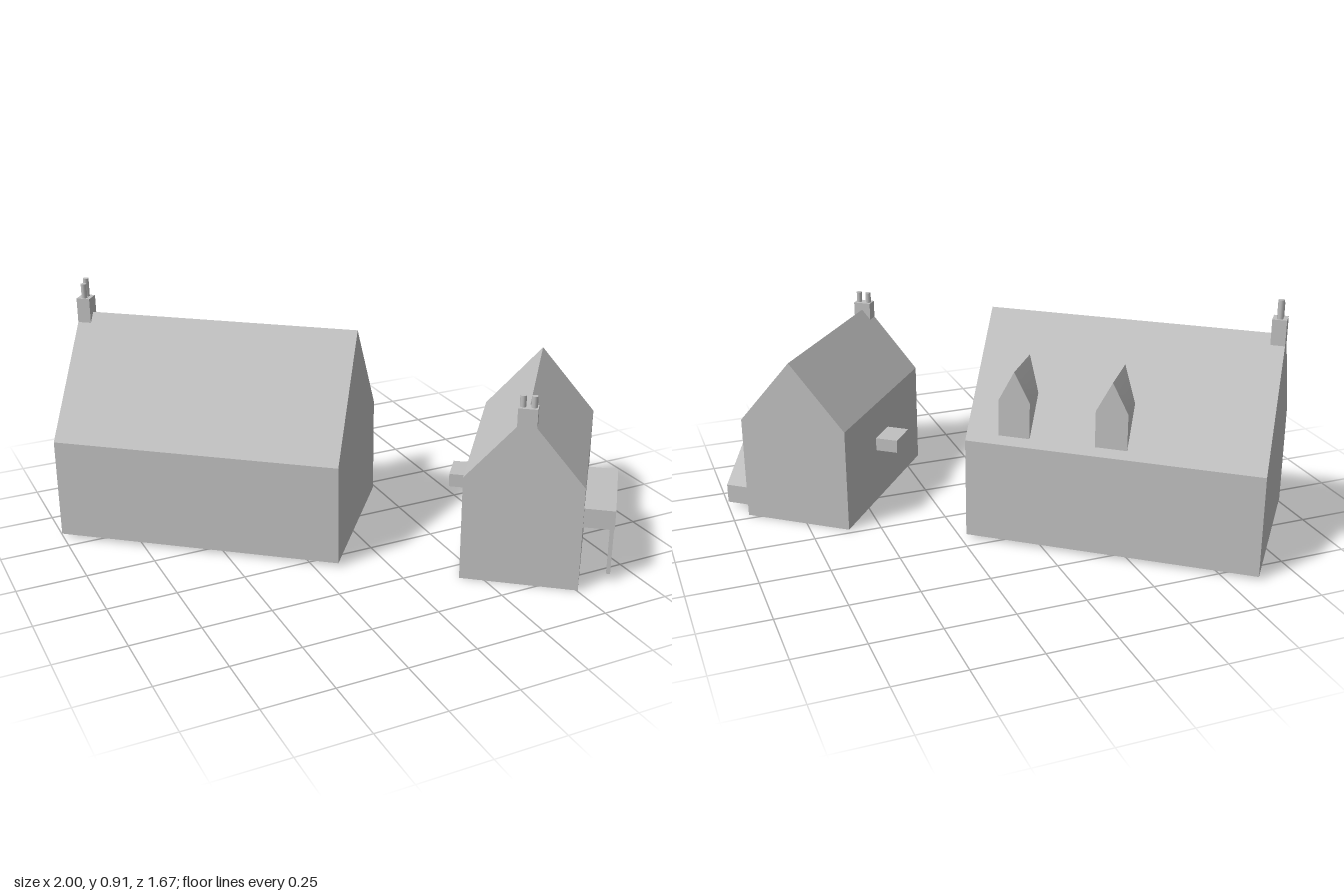
import * as THREE from 'three';

const plaster = new THREE.MeshStandardMaterial({ color: 0xc0c0c0, side: THREE.DoubleSide });
plaster.name = 'plainGrey';

function mesh(name, geometry, parent) {
  const m = new THREE.Mesh(geometry, plaster);
  m.name = name;
  parent.add(m);
  return m;
}

// Box given by its min and max corners
function block(name, parent, [x0, y0, z0], [x1, y1, z1]) {
  const m = mesh(name, new THREE.BoxGeometry(x1 - x0, y1 - y0, z1 - z0), parent);
  m.position.set((x0 + x1) / 2, (y0 + y1) / 2, (z0 + z1) / 2);
}

// Gabled shell without a floor: half width across x, half length along z
function gabledBody(name, parent, w, l, base, eave, ridge) {
  const section = [[-w, base], [-w, eave], [0, ridge], [w, eave], [w, base]];
  const pos = [];
  const add = (i, z) => pos.push(...section[i], z);
  // Walls and roof slopes
  for (let i = 0; i < 4; i++) {
    add(i, l); add(i + 1, l); add(i + 1, -l);
    add(i, l); add(i + 1, -l); add(i, -l);
  }
  // Gable ends
  for (let i = 1; i < 4; i++) {
    add(0, l); add(i + 1, l); add(i, l);
    add(0, -l); add(i, -l); add(i + 1, -l);
  }
  const g = new THREE.BufferGeometry();
  g.setAttribute('position', new THREE.Float32BufferAttribute(pos, 3));
  g.computeVertexNormals();
  mesh(name, g, parent);
}

// Chimney stack with pots given as [x, top]
function chimney(parent, w, d, z, y0, y1, pots) {
  const g = new THREE.Group();
  g.name = 'chimney';
  parent.add(g);
  block('chimneyStack', g, [-w / 2, y0, z - d / 2], [w / 2, y1, z + d / 2]);
  for (const [x, top] of pots) {
    const pot = mesh('chimneyPot', new THREE.CylinderGeometry(0.011, 0.011, top - y1, 8), g);
    pot.position.set(x, (top + y1) / 2, z);
  }
}

// Gabled dormer facing +x; cheek and roof share normals, the front stays crisp
function dormer(parent, z) {
  const w = 0.057, front = 0.301, low = 0.41, eave = 0.545, ridge = 0.655;
  const pos = [], idx = [];
  for (const s of [1, -1]) {
    const o = pos.length / 3;
    pos.push(0.192, eave, s * w, front, eave, s * w, front, low, s * w,
      front, ridge, 0, 0.108, ridge, 0);
    for (const [a, b, c] of [[2, 1, 0], [0, 1, 3], [0, 3, 4]])
      idx.push(o + a, o + (s > 0 ? b : c), o + (s > 0 ? c : b));
  }
  pos.push(front, low, w, front, low, -w, front, eave, -w, front, ridge, 0, front, eave, w);
  idx.push(10, 11, 12, 10, 12, 14, 12, 13, 14);
  const g = new THREE.BufferGeometry();
  g.setAttribute('position', new THREE.Float32BufferAttribute(pos, 3));
  g.setIndex(idx);
  g.computeVertexNormals();
  mesh('dormer', g, parent).position.z = z;
}

export function createModel() {
  const model = new THREE.Group();
  model.name = 'houses';
  const site = new THREE.Group();
  site.name = 'site';
  site.rotation.y = -0.665;
  model.add(site);

  // Large house, turned so its ridge crosses the small one's
  const large = new THREE.Group();
  large.name = 'largeHouse';
  large.position.set(-0.463, 0, 0.037);
  large.rotation.y = Math.PI / 2;
  site.add(large);
  gabledBody('largeHouseBody', large, 0.322, 0.53, 0.012, 0.385, 0.785);
  chimney(large, 0.056, 0.05, -0.505, 0.745, 0.842, [[0.012, 0.91], [-0.012, 0.895]]);
  dormer(large, 0.006);
  dormer(large, 0.355);

  // Small house
  const small = new THREE.Group();
  small.name = 'smallHouse';
  small.position.set(0.7065, 0, -0.006);
  site.add(small);
  gabledBody('smallHouseBody', small, 0.2065, 0.354, 0, 0.39, 0.633);
  chimney(small, 0.067, 0.044, 0.332, 0.593, 0.66, [[-0.019, 0.7], [0.019, 0.7]]);

  // Canopy over the doorway
  block('doorCanopy', small, [-0.292, 0.204, -0.075], [-0.2065, 0.254, 0.045]);

  // Raised landing that turns into a ramp: side outline extruded across
  const outline = [
    [-0.269, 0.203], [0.084, 0.203], [0.312, 0.02],
    [0.312, 0.092], [0.084, 0.275], [-0.269, 0.275],
  ].map(([x, y]) => new THREE.Vector2(x, y));
  const ramp = new THREE.ExtrudeGeometry(new THREE.Shape(outline),
    { depth: 0.1075, bevelEnabled: false });
  ramp.translate(0, 0, 0.2065).rotateY(Math.PI / 2);
  mesh('landingAndRamp', ramp, small);

  // Posts under the outer edge of the landing
  for (const z of [0.26, -0.075])
    block('landingPost', small, [0.298, 0.03, z - 0.007], [0.312, 0.203, z + 0.007]);

  return model;
}
